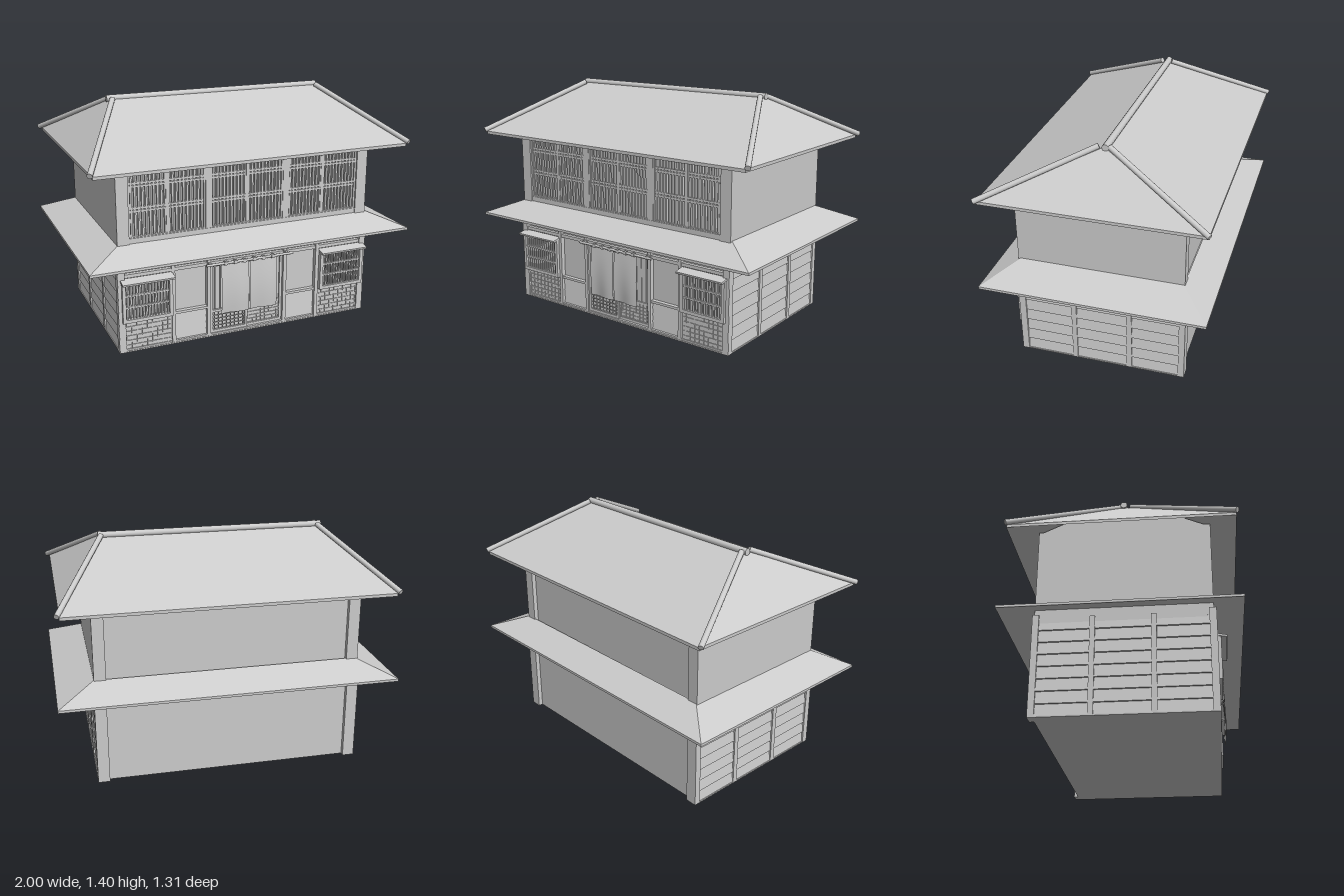
import * as THREE from 'three';

const material = new THREE.MeshStandardMaterial({ color: 0xcccccc, flatShading: true });
const smooth = new THREE.MeshStandardMaterial({ color: 0xcccccc, side: THREE.DoubleSide });

function add(parent, name, geometry, mat = material) {
  const mesh = new THREE.Mesh(geometry, mat);
  mesh.name = name;
  parent.add(mesh);
  return mesh;
}

// Box given by its limits on each axis
function box(parent, name, x0, x1, y0, y1, z0, z1) {
  const mesh = add(parent, name, new THREE.BoxGeometry(x1 - x0, y1 - y0, z1 - z0));
  mesh.position.set((x0 + x1) / 2, (y0 + y1) / 2, (z0 + z1) / 2);
  return mesh;
}

// Round bar between two points
function bar(parent, name, a, b, radius) {
  const from = new THREE.Vector3(...a), to = new THREE.Vector3(...b);
  const dir = to.clone().sub(from);
  const mesh = add(parent, name, new THREE.CylinderGeometry(radius, radius, dir.length(), 12), smooth);
  mesh.position.copy(from).add(to).multiplyScalar(0.5);
  mesh.quaternion.setFromUnitVectors(new THREE.Vector3(0, 1, 0), dir.normalize());
}

// Thin sloping roof shell through rectangular rings [halfX, halfZ, y]
function roofShell(rings) {
  const corner = ([x, z, y], i) => [[x, y, z], [x, y, -z], [-x, y, -z], [-x, y, z]][i % 4];
  const pos = [];
  for (let k = 0; k < rings.length - 1; k++) {
    for (let i = 0; i < 4; i++) {
      const a0 = corner(rings[k], i), a1 = corner(rings[k], i + 1);
      const b0 = corner(rings[k + 1], i), b1 = corner(rings[k + 1], i + 1);
      pos.push(...b0, ...b1, ...a1, ...b0, ...a1, ...a0);
    }
  }
  const g = new THREE.BufferGeometry();
  g.setAttribute('position', new THREE.Float32BufferAttribute(pos, 3));
  g.computeVertexNormals();
  return g;
}

// Evenly spaced upright slats
function slats(parent, x0, x1, y0, y1, z0, z1, count, width) {
  for (let i = 0; i < count; i++) {
    const x = x0 + ((i + 0.5) / count) * (x1 - x0);
    box(parent, 'slat', x - width / 2, x + width / 2, y0, y1, z0, z1);
  }
}

// Rectangular frame of four rails
function frame(parent, name, x0, x1, y0, y1, z0, z1, w) {
  box(parent, name, x0, x0 + w, y0, y1, z0, z1);
  box(parent, name, x1 - w, x1, y0, y1, z0, z1);
  box(parent, name, x0 + w, x1 - w, y0, y0 + w, z0, z1);
  box(parent, name, x0 + w, x1 - w, y1 - w, y1, z0, z1);
}

// Raised grid of thin bars
function grid(parent, x0, x1, y0, y1, z, cols, rows) {
  slats(parent, x0, x1, y0, y1, z, z + 0.004, cols, 0.004);
  for (let r = 0; r <= rows; r++) {
    const y = y0 + (r / rows) * (y1 - y0 - 0.004);
    box(parent, 'gridBar', x0, x1, y, y + 0.004, z, z + 0.005);
  }
}

function group(parent, name) {
  const g = new THREE.Group();
  g.name = name;
  parent.add(g);
  return g;
}

function buildWalls(root) {
  const walls = group(root, 'walls');
  box(walls, 'lowerWalls', -0.785, 0.765, 0, 0.6, -0.47, 0.48);
  box(walls, 'groundSlab', -0.81, 0.79, 0, 0.008, -0.47, 0.51);

  // Upper storey with its top following the roof slopes
  const shape = new THREE.Shape();
  [[-0.46, 0.55], [0.46, 0.55], [0.46, 1.14], [0.28, 1.22], [-0.28, 1.22], [-0.46, 1.14]]
    .forEach(([z, y], i) => (i ? shape.lineTo(z, y) : shape.moveTo(z, y)));
  const upper = add(walls, 'upperWalls', new THREE.ExtrudeGeometry(shape, { depth: 1.585, bevelEnabled: false }));
  upper.rotation.y = -Math.PI / 2;
  upper.position.x = 0.785;

  // Corner posts and the beam under the rear eaves
  for (const [x0, x1] of [[-0.80, -0.73], [0.715, 0.785]]) {
    box(walls, 'upperFrontPost', x0, x1, 0.56, 1.14, 0.455, 0.495);
    box(walls, 'upperRearPost', x0, x1, 0.56, 1.14, -0.487, -0.455);
  }
  for (const [x0, x1] of [[-0.81, -0.74], [0.72, 0.79]]) {
    box(walls, 'lowerRearPost', x0, x1, 0, 0.6, -0.497, -0.46);
  }
  box(walls, 'rearBeam', -0.73, 0.715, 1.055, 1.1, -0.475, -0.455);
}

// Side cladding of overlapping boards between posts
function buildCladding(root) {
  for (const side of [-1, 1]) {
    const clad = group(root, side > 0 ? 'leftCladding' : 'rightCladding');
    clad.position.x = -0.01;
    const spans = [[-0.46, -0.18], [-0.15, 0.155], [0.185, 0.49]];
    for (const [z0, z1] of spans) {
      for (let i = 0; i < 8; i++) {
        const y = 0.005 + i * 0.0715;
        const board = box(clad, 'board', -0.005, 0.005, y, y + 0.074, z0, z1);
        board.position.x = side * 0.786;
        board.rotation.z = side * 0.13;
      }
    }
    for (const [z0, z1] of [[-0.18, -0.15], [0.155, 0.185], [0.48, 0.51]]) {
      const post = box(clad, 'sidePost', -0.02, 0.02, 0, 0.58, z0, z1);
      post.position.x = side * 0.78;
    }
  }
}

function buildRoofs(root) {
  const roofs = group(root, 'roofs');
  add(roofs, 'skirtRoof', roofShell([[0.785, 0.48, 0.655], [1, 0.655, 0.567], [1, 0.655, 0.552], [0.785, 0.48, 0.638]]));
  add(roofs, 'mainRoof', roofShell([[0.67, 0, 1.375], [0.958, 0.64, 1.1], [0.958, 0.64, 1.082], [0.67, 0, 1.352]]));
  bar(roofs, 'ridgeTile', [-0.695, 1.377, -0.01], [0.685, 1.377, -0.01], 0.02);
  for (const sx of [-1, 1]) {
    for (const sz of [-1, 1]) {
      bar(roofs, 'hipTile', [sx * 0.973, 1.107, sz * 0.645], [sx * 0.668, 1.378, sz * 0.03], 0.016);
    }
  }
}

// Three lattice screens across the upper storey
function buildUpperLattice(root) {
  const lattice = group(root, 'upperLattice');
  box(lattice, 'sill', -0.73, 0.715, 0.62, 0.68, 0.455, 0.49);
  box(lattice, 'lintel', -0.73, 0.715, 1.085, 1.13, 0.455, 0.485);
  for (const [x0, x1] of [[-0.73, -0.27], [-0.24, 0.22], [0.25, 0.715]]) {
    const mid = (x0 + x1) / 2;
    frame(lattice, 'screenFrame', x0, x1, 0.675, 1.09, 0.455, 0.485, 0.012);
    box(lattice, 'mullion', mid - 0.008, mid + 0.008, 0.68, 1.085, 0.455, 0.483);
    slats(lattice, x0 + 0.01, x1 - 0.01, 0.68, 1.085, 0.464, 0.48, 20, 0.011);
    for (const y of [0.832, 0.85, 0.975, 0.993]) {
      box(lattice, 'rail', x0, x1, y - 0.006, y + 0.006, 0.46, 0.482);
    }
  }
  for (const x of [-0.255, 0.235]) box(lattice, 'divider', x - 0.016, x + 0.016, 0.66, 1.1, 0.455, 0.488);
}

// Barred bay window with a small roof and a gridded base
function buildBayWindow(root, x0, x1) {
  const bay = group(root, 'bayWindow');
  box(bay, 'base', x0, x1, 0.005, 0.19, 0.47, 0.499);
  grid(bay, x0 + 0.01, x1 - 0.01, 0.01, 0.185, 0.499, 9, 6);
  box(bay, 'back', x0, x1, 0.19, 0.44, 0.47, 0.495);
  frame(bay, 'windowFrame', x0, x1, 0.188, 0.44, 0.495, 0.527, 0.02);
  slats(bay, x0 + 0.02, x1 - 0.02, 0.2, 0.43, 0.505, 0.518, 14, 0.008);
  for (const y of [0.28, 0.35]) box(bay, 'rail', x0 + 0.02, x1 - 0.02, y - 0.005, y + 0.005, 0.503, 0.521);
  const roof = box(bay, 'windowRoof', x0 - 0.005, x1 + 0.005, 0.433, 0.445, 0.495, 0.56);
  roof.rotation.x = 0.2;
}

function buildShopFront(root) {
  const front = group(root, 'shopFront');
  for (const x of [-0.8, -0.48, -0.26, 0.235, 0.455, 0.78]) {
    box(front, 'frontPost', x - 0.011, x + 0.011, 0, 0.6, 0.47, 0.508);
  }
  box(front, 'crossBeam', -0.8, 0.78, 0.455, 0.475, 0.47, 0.503);
  box(front, 'threshold', -0.8, 0.78, 0, 0.018, 0.47, 0.506);
  buildBayWindow(front, -0.79, -0.49);
  buildBayWindow(front, 0.47, 0.77);

  // Boarded panels beside the entrance
  for (const x0 of [-0.467, 0.248]) {
    box(front, 'panelCap', x0, x0 + 0.195, 0.185, 0.2, 0.47, 0.506);
    for (let i = 0; i < 4; i++) {
      const y = 0.018 + i * 0.042;
      box(front, 'panelBoard', x0, x0 + 0.195, y, y + 0.043, 0.478, 0.49).rotation.x = -0.13;
    }
  }

  // Sliding doors
  for (const [x0, x1, z] of [[-0.249, -0.008, 0.482], [-0.02, 0.224, 0.474]]) {
    frame(front, 'doorFrame', x0, x1, 0.018, 0.455, z, z + 0.016, 0.016);
    box(front, 'doorRail', x0, x1, 0.15, 0.162, z, z + 0.014);
    grid(front, x0 + 0.016, x1 - 0.016, 0.034, 0.15, z + 0.007, 8, 5);
    slats(front, x0 + 0.016, x1 - 0.016, 0.16, 0.44, z, z + 0.01, 6, 0.006);
  }
}

// Cloth curtains hanging from a rod over the entrance
function buildCurtain(root) {
  const curtain = group(root, 'entranceCurtain');
  bar(curtain, 'rod', [-0.285, 0.466, 0.532], [0.272, 0.466, 0.532], 0.008);
  for (const x of [-0.26, 0.235]) box(curtain, 'rodBracket', x - 0.006, x + 0.006, 0.456, 0.476, 0.5, 0.535);
  for (const x of [-0.105, 0.078]) {
    const cloth = new THREE.PlaneGeometry(0.176, 0.312, 10, 8);
    const p = cloth.attributes.position;
    for (let i = 0; i < p.count; i++) {
      const down = 0.5 - p.getY(i) / 0.312;
      p.setZ(i, 0.012 * Math.sin(down * 2.6) + 0.006 * down * Math.sin(p.getX(i) * 36));
    }
    cloth.computeVertexNormals();
    add(curtain, 'cloth', cloth, smooth).position.set(x, 0.304, 0.53);
    for (const dx of [-0.06, 0, 0.06]) box(curtain, 'hangingLoop', x + dx - 0.01, x + dx + 0.01, 0.455, 0.476, 0.523, 0.541);
  }
}

export function createModel() {
  const house = new THREE.Group();
  house.name = 'townhouse';
  buildWalls(house);
  buildCladding(house);
  buildRoofs(house);
  buildUpperLattice(house);
  buildShopFront(house);
  buildCurtain(house);
  return house;
}
